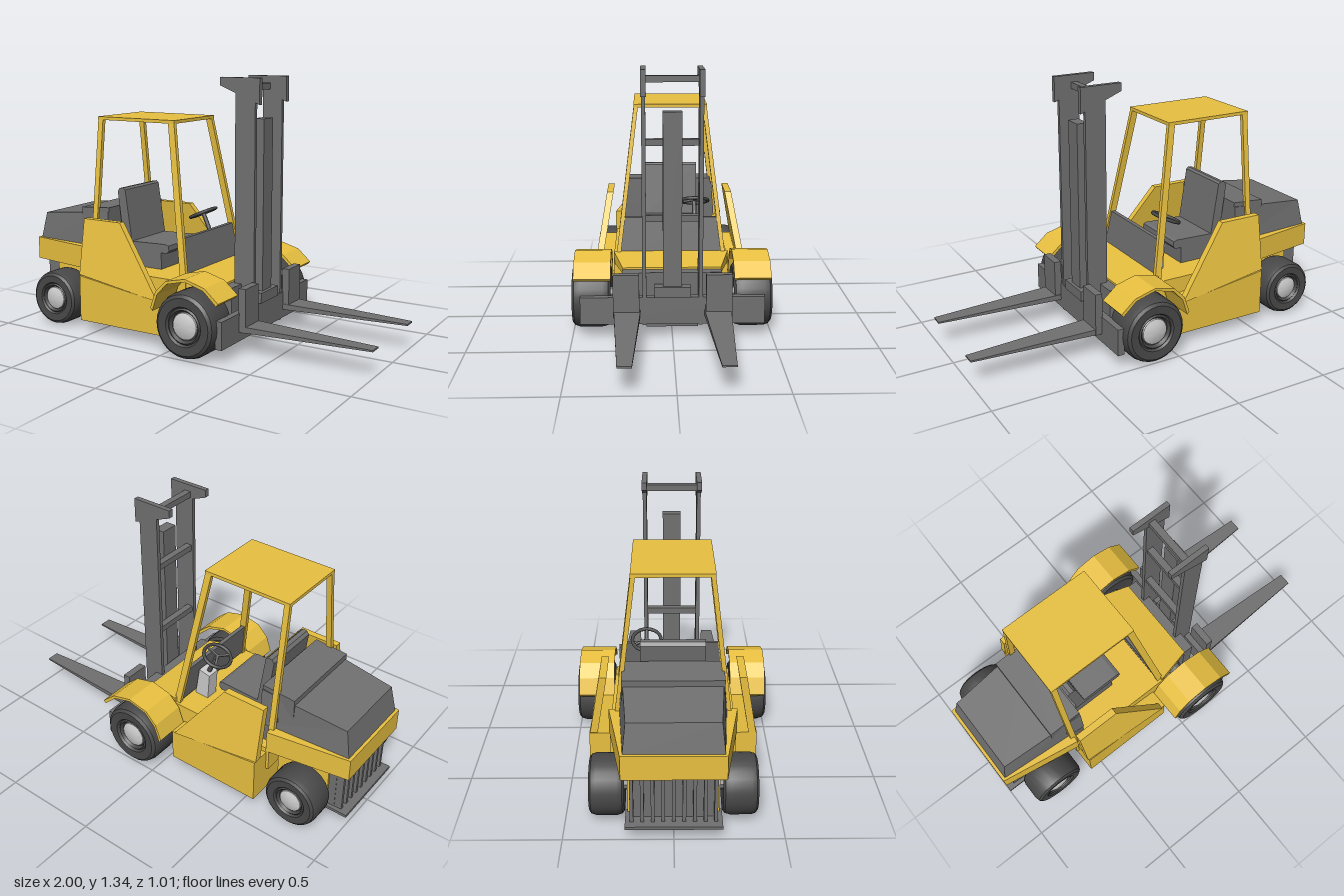
import * as THREE from 'three';
import { toCreasedNormals } from 'three/addons/utils/BufferGeometryUtils.js';

const mat = (color, flatShading = true) =>
  new THREE.MeshStandardMaterial({ color, flatShading, side: THREE.DoubleSide });
const yellow = mat(0xe8c040);
const dark = mat(0x707070);
const light = mat(0xcccccc);
const rubber = mat(0x484848, false);
const steel = mat(0xcccccc, false);

export function createModel() {
  const root = new THREE.Group();

  const add = (name, geometry, material, parent = root) => {
    const mesh = new THREE.Mesh(geometry, material);
    mesh.name = name;
    parent.add(mesh);
    return mesh;
  };
  // Box given by its minimum and maximum on each axis
  const box = (name, m, x0, x1, y0, y1, z0, z1) => {
    const g = new THREE.BoxGeometry(x1 - x0, y1 - y0, z1 - z0);
    return add(name, g.translate((x0 + x1) / 2, (y0 + y1) / 2, (z0 + z1) / 2), m);
  };
  // Six-sided block whose corners come from a rule of three 0/1 flags
  const block = (name, m, corner) => {
    const g = new THREE.BoxGeometry(1, 1, 1);
    const p = g.attributes.position;
    for (let i = 0; i < p.count; i++)
      p.setXYZ(i, ...corner(p.getX(i) > 0 ? 1 : 0, p.getY(i) > 0 ? 1 : 0, p.getZ(i) > 0 ? 1 : 0));
    g.computeVertexNormals();
    return add(name, g, m);
  };
  // Side profile in x-y, extruded across z and centred on zc
  const profile = (points, width, zc = 0) => {
    const shape = new THREE.Shape(points.map(([x, y]) => new THREE.Vector2(x, y)));
    return new THREE.ExtrudeGeometry(shape, { depth: width, bevelEnabled: false })
      .translate(0, 0, zc - width / 2);
  };
  const both = (fn) => [1, -1].forEach(fn);

  // Lower body and cab floor
  add('lowerBody', profile([[-0.575, 0.065], [-0.06, 0.065], [-0.06, 0.235], [-0.575, 0.305]], 0.8), yellow);
  box('cabFloor', yellow, -0.59, 0.02, 0.2, 0.33, -0.3, 0.3);
  block('frontDeck', yellow, (x, y, z) =>
    [x ? 0.2 : 0, y ? (x ? 0.33 : 0.36) : 0.3, (z ? 1 : -1) * (x ? 0.25 : 0.3)]);
  box('frontChassis', dark, -0.06, 0.2, 0.07, 0.31, -0.22, 0.22);
  box('mastMount', dark, 0.2, 0.255, 0.07, 0.32, -0.25, 0.25);

  // Rear counterweight, underside and grille
  block('counterweight', yellow, (x, y, z) =>
    [x ? -0.575 : -1, y ? 0.435 : 0.315, (z ? 1 : -1) * (x ? 0.305 : 0.235)]);
  box('rearUnderbody', yellow, -0.88, -0.59, 0.055, 0.315, -0.21, 0.21);
  box('rearPlate', dark, -1, -0.86, 0.055, 0.07, -0.22, 0.22);
  box('radiator', dark, -0.92, -0.88, 0.07, 0.315, -0.2, 0.2);
  for (let i = 0; i < 9; i++) {
    const z = -0.19 + i * 0.0475;
    box('grilleBar', dark, -0.96, -0.92, 0.07, 0.315, z - 0.008, z + 0.008);
  }

  // Engine hood with raised front section
  block('hood', dark, (x, y, z) => [
    x ? -0.5 : (y ? -0.955 : -0.985),
    y ? (x ? 0.625 : 0.575) : 0.43,
    (z ? 1 : -1) * ((x ? 0.26 : 0.225) - (y ? 0.015 : 0))]);
  block('hoodRaisedPanel', dark, (x, y, z) =>
    [x ? -0.5 : -0.68, y ? (x ? 0.647 : 0.635) : 0.5, (z ? 1 : -1) * 0.238]);
  box('hoodFront', dark, -0.6, -0.5, 0.33, 0.5, -0.25, 0.25);

  // Leaning side panels
  both((s) => {
    const g = profile([[-0.58, 0.31], [-0.08, 0.24], [-0.35, 0.6], [-0.58, 0.6]], 0.036);
    const p = g.attributes.position;
    for (let i = 0; i < p.count; i++)
      p.setZ(i, p.getZ(i) + s * (0.328 + (0.6 - p.getY(i)) * 0.17));
    g.computeVertexNormals();
    add('sidePanel', g, yellow);
  });

  // Overhead guard: roof, posts and dash between the front posts
  box('roof', yellow, -0.597, -0.115, 1.103, 1.12, -0.192, 0.192);
  both((s) => {
    const post = (name, xTop, xBottom, w) => block(name, yellow, (x, y, z) =>
      [(y ? xTop : xBottom) + (x ? w : 0), y ? 1.105 : 0.32,
        s * (y ? 0.18 : 0.277) + (z ? 0.011 : -0.011)]);
    post('rearPost', -0.595, -0.595, 0.03);
    post('frontPost', -0.152, -0.02, 0.036);
  });
  block('dashPanel', dark, (x, y, z) =>
    [(y ? -0.05 : -0.02) + (x ? 0.022 : 0), y ? 0.535 : 0.34, (z ? 1 : -1) * (y ? 0.245 : 0.268)]);

  // Seat
  box('seatBase', dark, -0.5, -0.23, 0.33, 0.42, -0.15, 0.15);
  add('seatCushion', profile([[-0.48, 0.42], [-0.19, 0.42], [-0.178, 0.435], [-0.18, 0.462],
    [-0.2, 0.468], [-0.48, 0.46]], 0.31), dark);
  add('seatBack', profile([[-0.465, 0.43], [-0.41, 0.43], [-0.455, 0.735], [-0.467, 0.745],
    [-0.49, 0.742], [-0.503, 0.725]], 0.31), dark);

  // Steering column and wheel
  add('steeringColumn', profile([[-0.11, 0.33], [-0.03, 0.33], [-0.055, 0.49], [-0.12, 0.475]], 0.07, -0.13), light);
  const steering = new THREE.Group();
  steering.name = 'steering';
  steering.position.set(-0.145, 0.597, -0.13);
  steering.rotation.z = 0.42;
  root.add(steering);
  add('steeringRim', new THREE.TorusGeometry(0.073, 0.009, 8, 24).rotateX(Math.PI / 2), rubber, steering);
  add('steeringShaft', new THREE.CylinderGeometry(0.012, 0.012, 0.15, 10).translate(0, -0.075, 0), dark, steering);
  for (let i = 0; i < 3; i++)
    add('steeringSpoke', new THREE.BoxGeometry(0.07, 0.008, 0.012).translate(0.035, 0, 0)
      .rotateY(i * Math.PI * 2 / 3), dark, steering);

  // Front fenders: faceted arches
  const arch = [[-0.06, 0.235], [-0.03, 0.32], [0.03, 0.38], [0.14, 0.405], [0.25, 0.375], [0.325, 0.31]];
  const inner = arch.map(([x, y]) => [0.135 + (x - 0.135) * 0.94, y - 0.014]).reverse();
  both((s) => add('fender', profile([...arch, ...inner], 0.185, s * 0.4), yellow));

  // Wheels
  const wheel = (name, x, y, r, z0, z1, s) => {
    const g = new THREE.Group();
    g.name = name;
    g.position.set(x, y, s * (z0 + z1) / 2);
    g.rotation.x = s * Math.PI / 2;
    root.add(g);
    const h = (z1 - z0) / 2;
    const lathe = (pts) => toCreasedNormals(
      new THREE.LatheGeometry(pts.map(([a, b]) => new THREE.Vector2(a * r, b * h)), 28), 0.5);
    add('tyre', lathe([[0, -0.85], [0.6, -0.95], [0.86, -1], [0.95, -0.88], [1, -0.6], [1, 0.6], [0.95, 0.88],
      [0.86, 1], [0.6, 0.97], [0.55, 0.85], [0.5, 0.92], [0.44, 0.75], [0, 0.7]]), rubber, g);
    add('hub', lathe([[0.42, 0.7], [0.4, 0.82], [0.25, 0.92], [0, 0.96]]), steel, g);
  };
  both((s) => {
    wheel('frontWheel', 0.135, 0.17, 0.166, 0.31, 0.505, s);
    wheel('rearWheel', -0.77, 0.15, 0.144, 0.225, 0.387, s);
  });
  add('rearAxle', new THREE.CylinderGeometry(0.03, 0.03, 0.5, 10).rotateX(Math.PI / 2).translate(-0.77, 0.15, 0), dark);
  add('frontAxle', new THREE.CylinderGeometry(0.04, 0.04, 0.66, 10).rotateX(Math.PI / 2).translate(0.135, 0.17, 0), dark);

  // Mast: rails with caps, cross bars and lift cylinder
  both((s) => {
    const z = s * 0.14;
    box('mastRail', dark, 0.215, 0.325, 0.07, 1.3, z - 0.01, z + 0.01);
    add('mastCap', profile([[0.13, 1.34], [0.13, 1.3], [0.35, 1.212], [0.35, 1.34]], 0.026, z), dark);
  });
  for (const y of [0.6, 0.98, 1.288])
    box('mastCrossBar', dark, 0.225, 0.26, y - 0.016, y + 0.016, -0.132, 0.132);
  box('liftColumn', dark, 0.262, 0.318, 0.2, 1.137, -0.047, 0.047);
  box('liftBracket', dark, 0.28, 0.335, 0.215, 0.268, -0.09, 0.09);
  box('mastFoot', dark, 0.2, 0.28, 0.045, 0.1, -0.13, 0.13);

  // Carriage and forks
  box('carriage', dark, 0.29, 0.326, 0.075, 0.215, -0.46, 0.46);
  both((s) => {
    box('forkShank', dark, 0.322, 0.36, 0.12, 0.34, s * 0.23 - 0.065, s * 0.23 + 0.065);
    block('forkBlade', dark, (x, y, z) => [
      x ? 1 : 0.33,
      x ? (y ? 0.14 : 0.132) : (y ? 0.15 : 0.12),
      s * 0.226 + (z ? 1 : -1) * (x ? 0.033 : 0.067)]);
  });

  return root;
}
